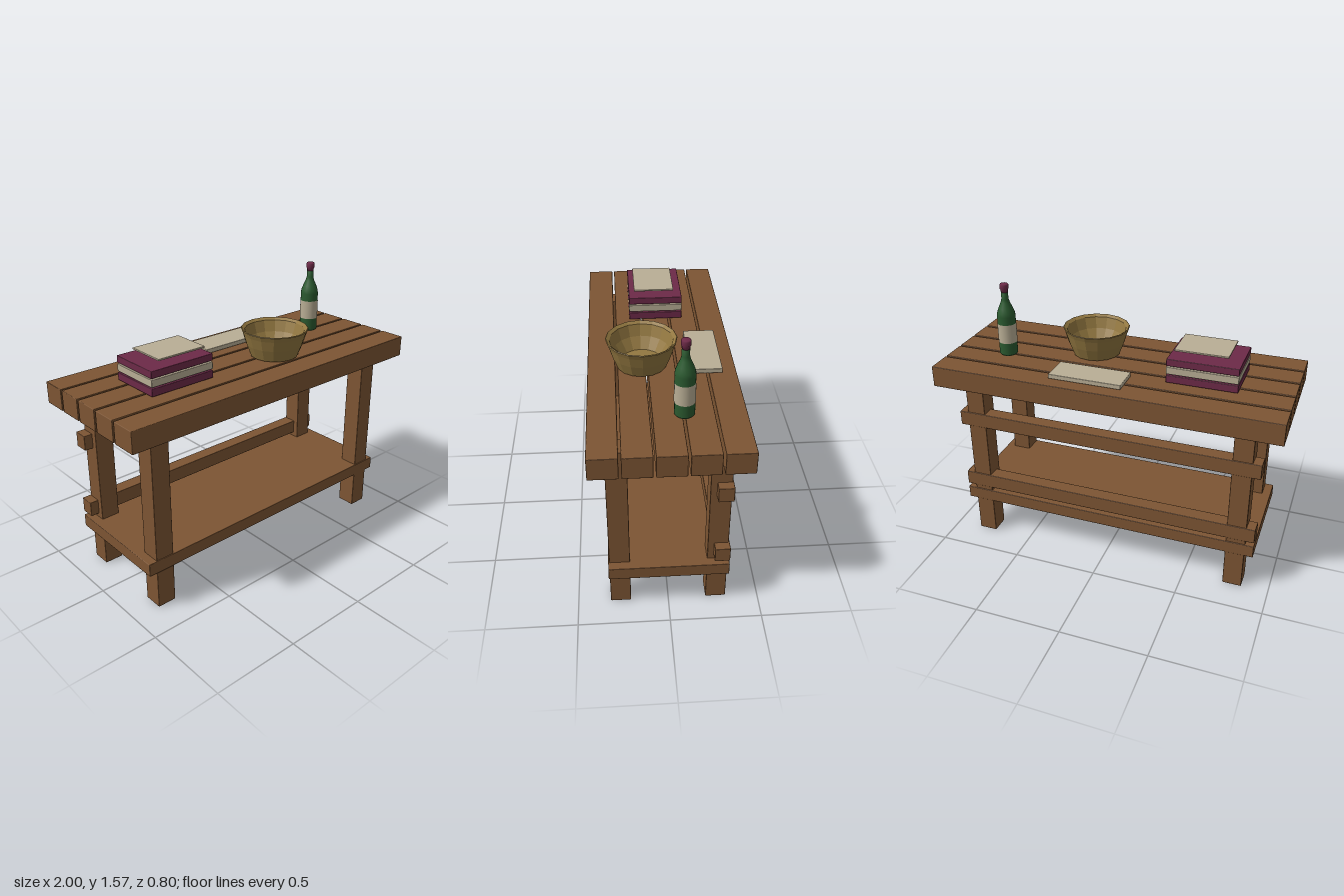
import * as THREE from 'three';
import { RoundedBoxGeometry } from 'three/addons/geometries/RoundedBoxGeometry.js';

const makeMaterial = (name, color, extra = {}) => {
  const m = new THREE.MeshStandardMaterial({ color, ...extra });
  m.name = name;
  return m;
};

export function createModel() {
  const wood = makeMaterial('wood', 0x7d5533);
  const cream = makeMaterial('cream', 0xb9ae95);
  const maroon = makeMaterial('maroon', 0x6d2a48);
  const brass = makeMaterial('brass', 0x927740, { flatShading: true, side: THREE.DoubleSide });
  const green = makeMaterial('bottle green', 0x2b5a30);

  const model = new THREE.Group();
  model.name = 'workbench';

  const add = (name, geometry, material, parent = model) => {
    const mesh = new THREE.Mesh(geometry, material);
    mesh.name = name;
    parent.add(mesh);
    return mesh;
  };
  // Softly bevelled box given by its lower and upper limits on each axis
  const box = (name, material, [x0, x1], [y0, y1], [z0, z1], parent = model, bevel = 0.004) => {
    const mesh = add(name, new RoundedBoxGeometry(x1 - x0, y1 - y0, z1 - z0, 1, bevel), material, parent);
    mesh.position.set((x0 + x1) / 2, (y0 + y1) / 2, (z0 + z1) / 2);
    return mesh;
  };
  const lathe = (points, sides) =>
    new THREE.LatheGeometry(points.map(([r, y]) => new THREE.Vector2(r, y)), sides);

  // Table top: five planks with narrow gaps
  for (let i = -2; i <= 2; i++) {
    const z = i * 0.1625;
    box('topPlank', wood, [-1, 1], [1.02, 1.143], [z - 0.075, z + 0.075]);
  }

  // Legs
  for (const sx of [-1, 1]) {
    for (const sz of [-1, 1]) {
      const leg = box('leg', wood, [0.735, 0.845], [0, 1.052], [0.208, 0.32]);
      leg.position.x *= sx;
      leg.position.z *= sz;
    }
  }

  // Lower shelf and rear rails
  box('shelf', wood, [-0.895, 0.895], [0.228, 0.303], [-0.325, 0.325]);
  for (const y of [0.328, 0.75]) {
    box('rearRail', wood, [-0.895, 0.895], [y, y + 0.088], [-0.325, -0.242]);
  }

  // Stack of books with a loose sheet above
  const books = new THREE.Group();
  books.name = 'bookStack';
  model.add(books);
  [[1.148, 1.192, maroon], [1.198, 1.24, cream], [1.246, 1.287, maroon]].forEach(([y0, y1, material]) =>
    box('book', material, [-0.706, -0.308], [y0, y1], [-0.157, 0.155], books));
  box('sheet', cream, [-0.636, -0.337], [1.316, 1.326], [-0.108, 0.124], books, 0.002);

  // Thin booklet lying at the back
  box('booklet', cream, [-0.107, 0.313], [1.146, 1.173], [-0.323, -0.147]);

  // Faceted bowl with a hollow inside
  const bowl = add('bowl', lathe([
    [0, 0], [0.138, 0], [0.165, 0.07], [0.183, 0.13], [0.194, 0.157],
    [0.19, 0.161], [0.172, 0.148], [0.15, 0.085], [0.108, 0.022], [0, 0.022],
  ], 16), brass);
  bowl.position.set(0.19, 1.148, 0.105);

  // Bottle, label and cap share one axis
  const bottle = new THREE.Group();
  bottle.name = 'bottle';
  bottle.position.set(0.67, 1.146, -0.085);
  model.add(bottle);
  add('bottleGlass', lathe([
    [0, 0], [0.047, 0], [0.053, 0.008], [0.053, 0.235], [0.05, 0.255],
    [0.04, 0.282], [0.026, 0.313], [0.02, 0.335], [0.02, 0.385], [0, 0.385],
  ], 20), green, bottle);
  const label = add('bottleLabel', new THREE.CylinderGeometry(0.0545, 0.0545, 0.112, 20, 1, true), cream, bottle);
  label.position.y = 0.134;
  add('bottleCap', lathe([
    [0, 0.374], [0.02, 0.374], [0.021, 0.39], [0.025, 0.395],
    [0.025, 0.416], [0.021, 0.423], [0, 0.423],
  ], 20), maroon, bottle);

  return model;
}
